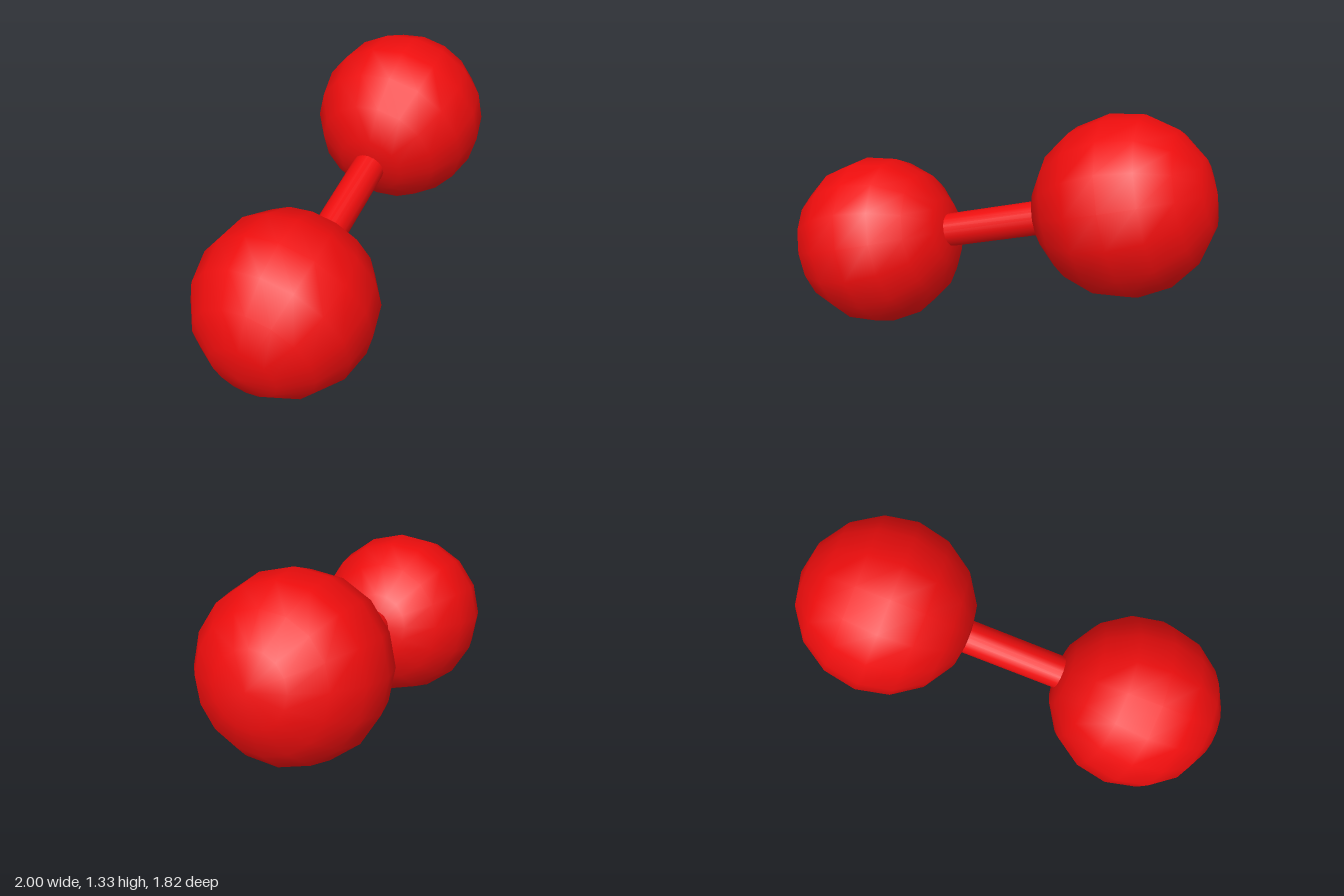
import * as THREE from 'three';

const BALL_RADIUS = 0.471;
const ROD_RADIUS = 0.09;
const SPACING = 1.444; // distance between ball centres
const SIDES = 16;

export function createModel() {
  const model = new THREE.Group();
  model.name = 'dumbbell';
  const red = new THREE.MeshStandardMaterial({ color: 0xee0d0d });

  // Everything is built along local y, then tilted as one piece
  const tilted = new THREE.Group();
  tilted.name = 'tiltedAssembly';

  // Two equal low-poly balls, their poles along the rod
  const ball = new THREE.SphereGeometry(BALL_RADIUS, SIDES, SIDES / 2);
  for (const side of [1, -1]) {
    const mesh = new THREE.Mesh(ball, red);
    mesh.name = side > 0 ? 'leftBall' : 'rightBall';
    mesh.position.y = side * SPACING / 2;
    tilted.add(mesh);
  }

  // Connecting rod, reaching from centre to centre
  const rod = new THREE.Mesh(
    new THREE.CylinderGeometry(ROD_RADIUS, ROD_RADIUS, SPACING, SIDES), red);
  rod.name = 'connectingRod';
  tilted.add(rod);

  // Aim local y along the axis, then roll the facets about it
  const axis = new THREE.Vector3(0.7375, 0.277, -0.616).normalize();
  const across = new THREE.Vector3(0, 1, 0).cross(axis).normalize();
  const upward = new THREE.Vector3().crossVectors(axis, across);
  tilted.quaternion.setFromRotationMatrix(
    new THREE.Matrix4().makeBasis(upward, axis, across));
  tilted.rotateY(THREE.MathUtils.degToRad(6.6));
  tilted.position.y = 0.67;

  model.add(tilted);
  return model;
}
